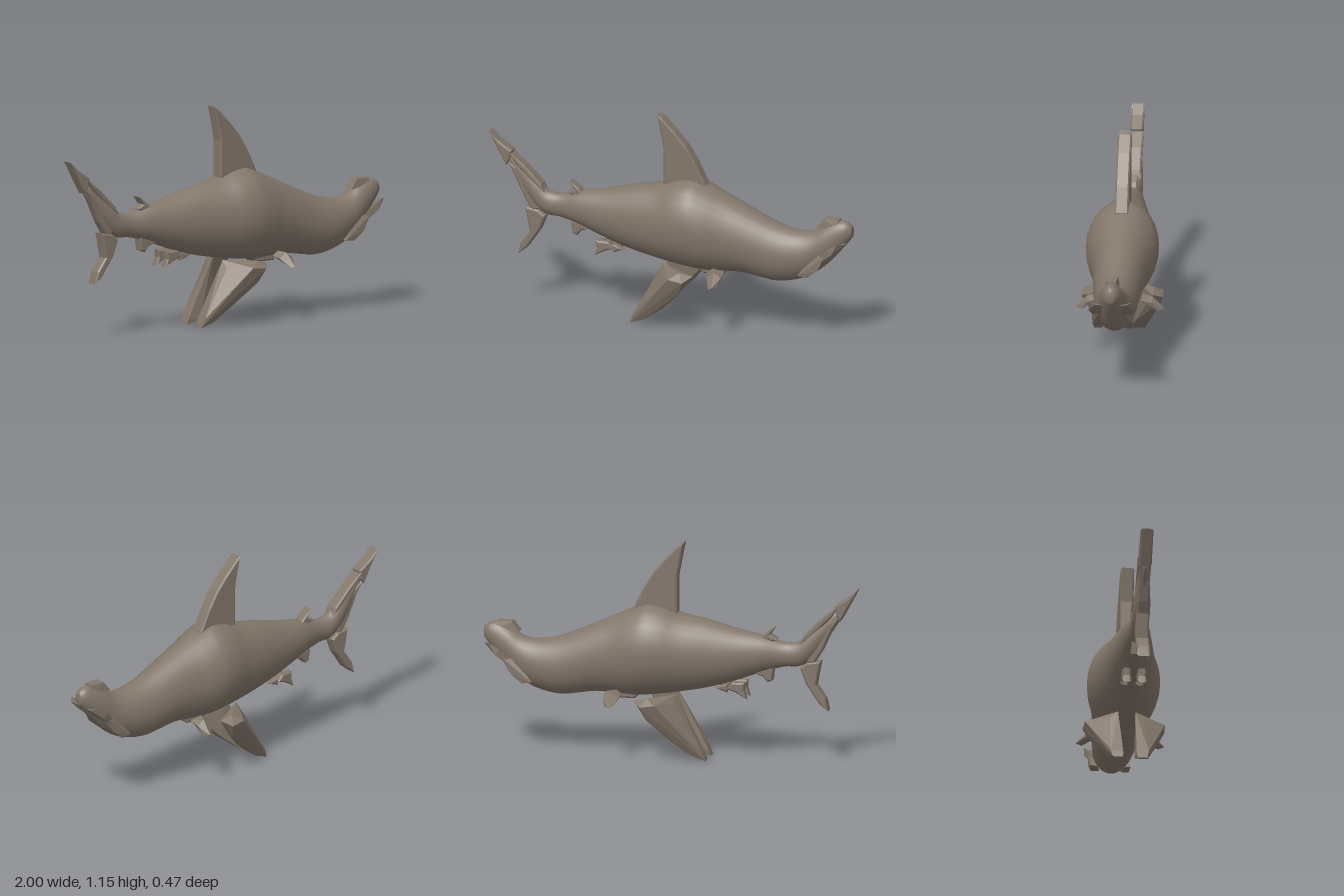
import * as THREE from 'three';
import { ConvexGeometry } from 'three/addons/geometries/ConvexGeometry.js';

const skin = new THREE.MeshStandardMaterial({ color: 0x82766a });
skin.name = 'greyBrownSkin';
const finSkin = skin.clone();
finSkin.name = 'greyBrownFins';
finSkin.flatShading = true;

// Body stations: x, top y, bottom y, half width
const stations = [
  [-0.9, 0.83, 0.77, 0.012], [-0.86, 0.81, 0.71, 0.025], [-0.8, 0.765, 0.62, 0.036],
  [-0.74, 0.71, 0.55, 0.045], [-0.68, 0.65, 0.515, 0.047], [-0.61, 0.64, 0.51, 0.045],
  [-0.5, 0.67, 0.48, 0.07], [-0.35, 0.70, 0.425, 0.1], [-0.2, 0.74, 0.38, 0.128],
  [-0.05, 0.77, 0.35, 0.16], [0.05, 0.805, 0.335, 0.184], [0.13, 0.815, 0.325, 0.191],
  [0.2, 0.79, 0.32, 0.182], [0.3, 0.745, 0.325, 0.155], [0.4, 0.70, 0.33, 0.137],
  [0.5, 0.655, 0.315, 0.125], [0.58, 0.622, 0.305, 0.117], [0.66, 0.601, 0.315, 0.108],
  [0.74, 0.595, 0.34, 0.095], [0.8, 0.612, 0.375, 0.083], [0.86, 0.65, 0.425, 0.072],
  [0.92, 0.674, 0.49, 0.058], [0.97, 0.672, 0.55, 0.042], [1.0, 0.65, 0.59, 0.022],
];

// Smooth lofted body with elliptical sections and closed ends
function bodyGeometry(sides = 28, steps = 100) {
  const spine = new THREE.CatmullRomCurve3(stations.map(s => new THREE.Vector3(s[0], s[1], s[2])));
  const width = new THREE.CatmullRomCurve3(stations.map(s => new THREE.Vector3(s[0], s[3], 0)));
  const pos = [], idx = [];
  for (let i = 0; i <= steps; i++) {
    const p = spine.getPoint(i / steps), w = width.getPoint(i / steps).y;
    const mid = (p.y + p.z) / 2, half = (p.y - p.z) / 2;
    for (let j = 0; j < sides; j++) {
      const a = j / sides * Math.PI * 2;
      pos.push(p.x, mid + half * Math.cos(a), w * Math.sin(a));
      if (i === steps) continue;
      const A = i * sides + j, B = i * sides + (j + 1) % sides;
      idx.push(A, B, A + sides, B, B + sides, A + sides);
    }
  }
  const last = steps * sides, tail = pos.length / 3, nose = tail + 1;
  pos.push(-0.9, 0.8, 0, 1.0, 0.62, 0);
  for (let j = 0; j < sides; j++) {
    const k = (j + 1) % sides;
    idx.push(tail, k, j, nose, last + j, last + k);
  }
  const g = new THREE.BufferGeometry();
  g.setAttribute('position', new THREE.Float32BufferAttribute(pos, 3));
  g.setIndex(idx);
  g.computeVertexNormals();
  return g;
}

// Upright bevelled slab from a side outline
function slab(name, outline, half, z = 0) {
  const shape = new THREE.Shape(outline.map(p => new THREE.Vector2(p[0], p[1])));
  const b = 0.008;
  const g = new THREE.ExtrudeGeometry(shape, {
    depth: 2 * (half - b), bevelEnabled: true, bevelThickness: b,
    bevelSize: b, bevelOffset: -b, bevelSegments: 1,
  });
  g.translate(0, 0, z - half + b);
  const m = new THREE.Mesh(g, finSkin);
  m.name = name;
  return m;
}

// Faceted solid around a few corner points, mirrored by side
function hull(name, points, side) {
  const m = new THREE.Mesh(
    new ConvexGeometry(points.map(p => new THREE.Vector3(p[0], p[1], p[2] * side))), finSkin);
  m.name = name;
  return m;
}

export function createModel() {
  const model = new THREE.Group();
  model.name = 'shark';
  const body = new THREE.Mesh(bodyGeometry(), skin);
  body.name = 'body';
  model.add(body);

  // Fins along the centre line
  model.add(
    slab('dorsalFin', [[-0.07, 1.15], [-0.045, 1.135], [0.03, 1.06], [0.09, 0.99], [0.14, 0.91],
      [0.2, 0.79], [0.18, 0.75], [-0.035, 0.74], [-0.035, 0.97], [-0.05, 1.05]], 0.036),
    slab('upperTailTip', [[-1, 0.945], [-0.95, 0.9], [-0.875, 0.85], [-0.885, 0.8],
      [-0.905, 0.77], [-0.95, 0.85]], 0.034),
    slab('upperTailFront', [[-0.89, 0.845], [-0.8, 0.775], [-0.71, 0.685], [-0.69, 0.64],
      [-0.76, 0.69], [-0.86, 0.79]], 0.036),
    slab('upperTailBack', [[-0.9, 0.79], [-0.85, 0.76], [-0.78, 0.64], [-0.72, 0.55],
      [-0.76, 0.53], [-0.81, 0.61], [-0.86, 0.72]], 0.03),
    slab('lowerTailFin', [[-0.8, 0.55], [-0.73, 0.54], [-0.69, 0.51], [-0.72, 0.43], [-0.79, 0.325],
      [-0.84, 0.285], [-0.825, 0.35], [-0.775, 0.42], [-0.79, 0.5]], 0.034),
    slab('rearDorsalFin', [[-0.555, 0.72], [-0.51, 0.69], [-0.48, 0.66], [-0.54, 0.645],
      [-0.57, 0.655], [-0.53, 0.68]], 0.032),
    slab('analFin', [[-0.55, 0.51], [-0.44, 0.47], [-0.49, 0.455], [-0.515, 0.425],
      [-0.54, 0.435]], 0.03),
    slab('bellyKeel', [[0.13, 0.36], [0.32, 0.36], [0.3, 0.308], [0.19, 0.308]], 0.05),
  );

  for (const side of [1, -1]) {
    const label = side > 0 ? 'left' : 'right';
    model.add(
      // Long swept pectoral fin
      hull(label + 'PectoralFin', [
        [0.1, 0.34, 0.17], [0.13, 0.3, 0.215], [0.17, 0.325, 0.16], [0.05, 0.31, 0.21],
        [-0.03, 0.34, 0.045], [-0.035, 0.3, 0.09], [0.1, 0.225, 0.18], [0.08, 0.2, 0.135],
        [-0.01, 0.11, 0.11], [-0.02, 0.11, 0.06], [-0.12, 0.03, 0.03], [-0.12, 0.03, 0.1],
        [-0.2, 0, 0.04], [-0.2, 0, 0.09], [-0.19, 0.03, 0.035], [-0.18, 0.05, 0.1],
      ], side),
      // Small flared fin ahead of the pectoral
      hull(label + 'FrontFin', [
        [0.24, 0.345, 0.12], [0.33, 0.355, 0.11], [0.27, 0.37, 0.12], [0.25, 0.335, 0.17],
        [0.33, 0.34, 0.17], [0.29, 0.365, 0.17], [0.28, 0.29, 0.23], [0.32, 0.295, 0.2],
        [0.3, 0.3, 0.235],
      ], side),
      // Pelvic fins
      slab(label + 'PelvicFin', [[-0.4, 0.42], [-0.33, 0.42], [-0.3, 0.385], [-0.35, 0.37],
        [-0.41, 0.335], [-0.395, 0.38]], 0.022, side * 0.04),
      slab(label + 'RearPelvicFin', [[-0.31, 0.41], [-0.24, 0.39], [-0.28, 0.375],
        [-0.305, 0.365]], 0.02, side * 0.04),
      // Head wing: flared upper lobe and narrow lower lobe
      hull(label + 'UpperHeadLobe', [
        [0.98, 0.57, 0.04], [0.985, 0.575, 0.08], [0.95, 0.58, 0.115], [0.9, 0.55, 0.115],
        [0.95, 0.53, 0.05], [0.87, 0.47, 0.06], [0.92, 0.52, 0.12], [0.86, 0.47, 0.1],
        [0.84, 0.49, 0.095],
      ], side),
      hull(label + 'LowerHeadLobe', [
        [0.9, 0.5, 0.06], [0.88, 0.5, 0.105], [0.84, 0.5, 0.095], [0.84, 0.425, 0.06],
        [0.84, 0.42, 0.105], [0.78, 0.37, 0.055], [0.78, 0.37, 0.1], [0.73, 0.375, 0.07],
        [0.73, 0.38, 0.105], [0.76, 0.42, 0.1],
      ], side),
    );
  }

  // Raised crown on the head and nose tip
  model.add(hull('headCrown', [
    [0.81, 0.63, 0.035], [0.81, 0.63, -0.035], [0.85, 0.682, 0.03], [0.85, 0.682, -0.03],
    [0.93, 0.682, 0.025], [0.93, 0.682, -0.025], [0.93, 0.64, 0.035], [0.93, 0.64, -0.035],
  ], 1));
  const nose = new THREE.Mesh(new THREE.SphereGeometry(0.024, 16, 12), skin);
  nose.name = 'noseTip';
  nose.scale.y = 1.4;
  nose.position.set(0.976, 0.62, 0);
  model.add(nose);
  return model;
}
